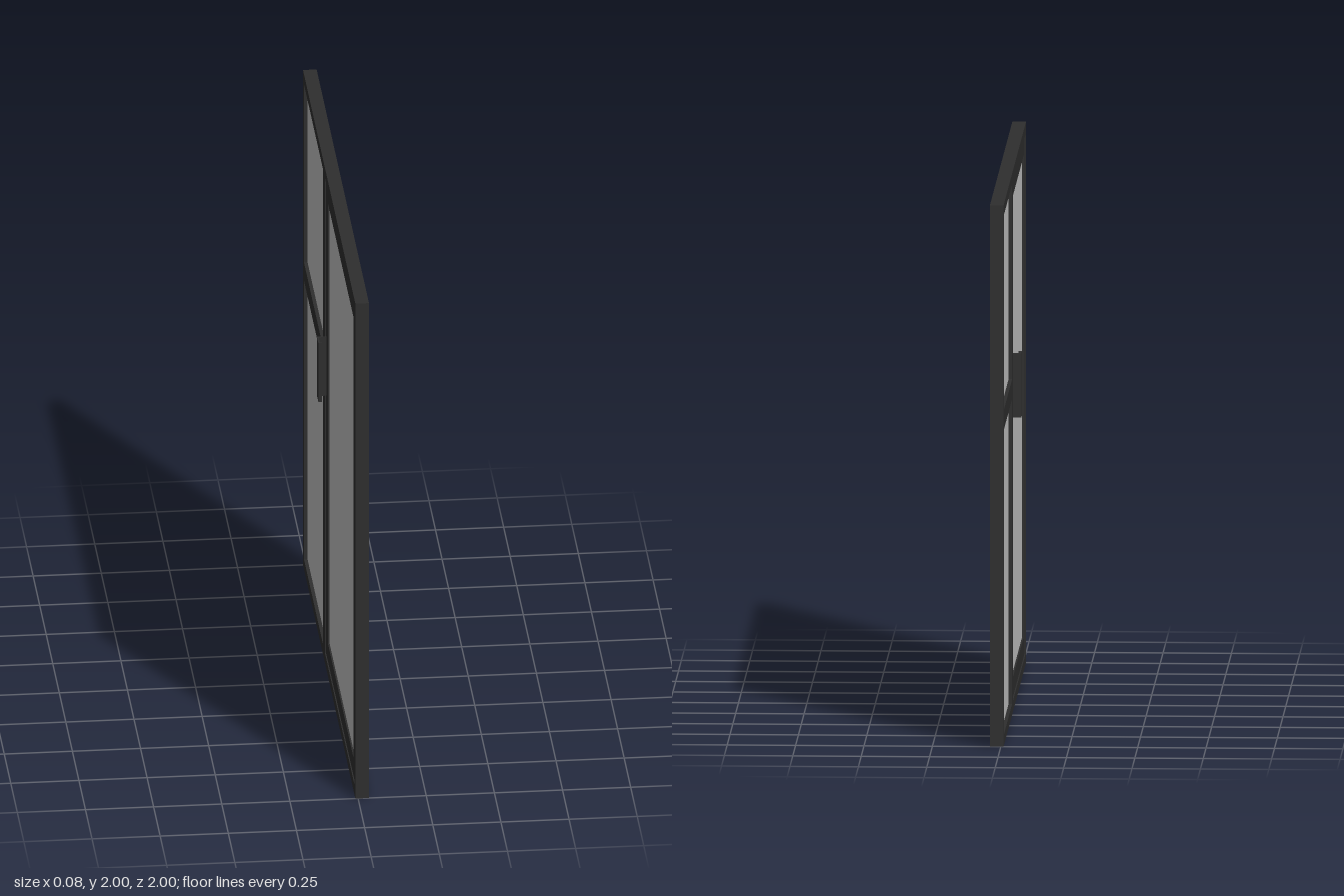
import * as THREE from 'three';

const frameMat = new THREE.MeshStandardMaterial({ color: 0x2e2e2e });
frameMat.name = 'charcoal aluminium';
const glassMat = new THREE.MeshStandardMaterial({ color: 0xc2c2c2 });
glassMat.name = 'grey glass';

// Box given by its limits on each axis
function slab(name, mat, [x0, x1], [y0, y1], [z0, z1]) {
  const mesh = new THREE.Mesh(new THREE.BoxGeometry(x1 - x0, y1 - y0, z1 - z0), mat);
  mesh.position.set((x0 + x1) / 2, (y0 + y1) / 2, (z0 + z1) / 2);
  mesh.name = name;
  return mesh;
}

// Rectangular panel in the z-y plane with rectangular openings, extruded along x
function framePanel(name, [x0, x1], [y0, y1], [z0, z1], openings) {
  const rect = (path, a, b, c, d) =>
    path.moveTo(-a, c).lineTo(-b, c).lineTo(-b, d).lineTo(-a, d).closePath();
  const shape = rect(new THREE.Shape(), z1, z0, y0, y1);
  for (const { y, z } of openings) {
    shape.holes.push(rect(new THREE.Path(), z[1], z[0], y[0], y[1]));
  }
  const geo = new THREE.ExtrudeGeometry(shape, { depth: x1 - x0, bevelEnabled: false });
  geo.rotateY(Math.PI / 2); // shape x becomes -z, depth becomes +x
  geo.translate(x0, 0, 0);
  const mesh = new THREE.Mesh(geo, frameMat);
  mesh.name = name;
  return mesh;
}

export function createModel() {
  const model = new THREE.Group();
  model.name = 'window';

  // Fixed outer frame with mullion and transom
  const sashBay = { y: [0.04, 1.96], z: [-0.16, 0.96] };
  const upperBay = { y: [1.24, 1.96], z: [-0.96, -0.238] };
  const lowerBay = { y: [0.04, 1.167], z: [-0.96, -0.238] };
  model.add(framePanel('outerFrame', [-0.01, 0.04], [0, 2], [-1, 1], [sashBay, upperBay, lowerBay]));

  // Large sash, set slightly back inside its bay
  const sashPane = { y: [0.112, 1.892], z: [-0.09, 0.89] };
  model.add(framePanel('sash', [-0.006, 0.035], sashBay.y, sashBay.z, [sashPane]));

  // Panes
  model.add(slab('sashGlass', glassMat, [0.0, 0.03], sashPane.y, sashPane.z));
  model.add(slab('upperGlass', glassMat, [0.003, 0.025], upperBay.y, upperBay.z));
  model.add(slab('lowerGlass', glassMat, [0.003, 0.025], lowerBay.y, lowerBay.z));

  // Hooked pull handle bent from thin plate
  const handle = new THREE.Group();
  handle.name = 'handle';
  const height = [1.085, 1.322];
  handle.add(slab('handleWeb', frameMat, [-0.04, -0.004], height, [-0.156, -0.15]));
  handle.add(slab('handleGrip', frameMat, [-0.04, -0.034], height, [-0.15, -0.1]));
  handle.add(slab('handleLip', frameMat, [-0.034, -0.027], height, [-0.106, -0.1]));
  model.add(handle);

  return model;
}
